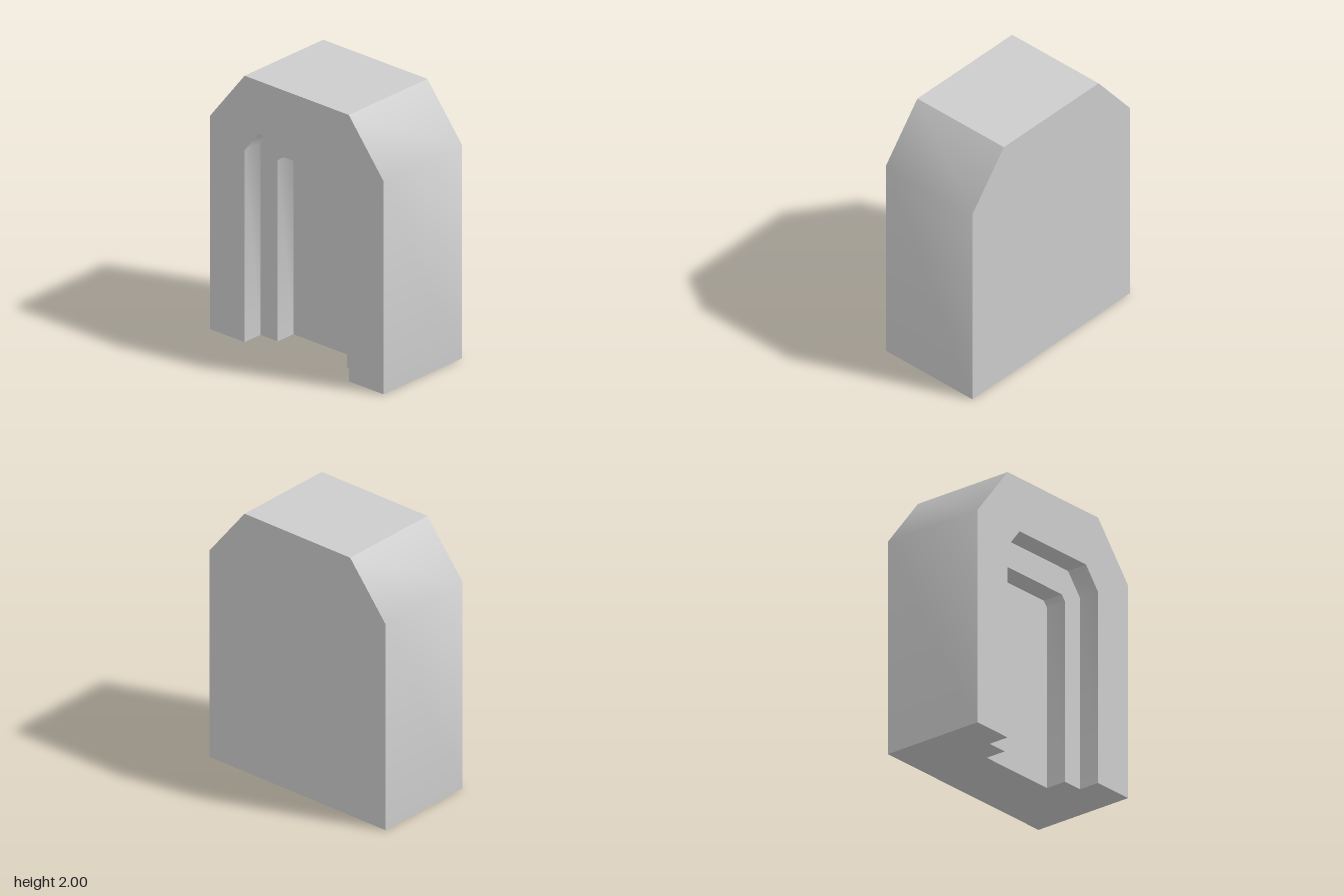
import * as THREE from 'three';
import { toCreasedNormals } from 'three/addons/utils/BufferGeometryUtils.js';

const BACK = -0.4, PANEL = 0.08, STEP = 0.24, FRONT = 0.4;

// Chamfered arch outline, from the bottom right over the top to the bottom left
function arch(halfWidth, height, chamferX, chamferY) {
  const right = [[halfWidth, 0], [halfWidth, height - chamferY], [halfWidth - chamferX, height]];
  const left = right.map(([x, y]) => [-x, y]).reverse();
  return [...right, ...left].map(([x, y]) => new THREE.Vector2(x, y));
}

// Walls swept along z under an outline; the chamfer blends softly into the sides
function wallGeometry(outline, z0, z1) {
  const positions = [];
  for (let i = 0; i < outline.length - 1; i++) {
    const a = outline[i], b = outline[i + 1];
    positions.push(a.x, a.y, z0, b.x, b.y, z0, b.x, b.y, z1);
    positions.push(a.x, a.y, z0, b.x, b.y, z1, a.x, a.y, z1);
  }
  const geometry = new THREE.BufferGeometry();
  geometry.setAttribute('position', new THREE.Float32BufferAttribute(positions, 3));
  return toCreasedNormals(geometry, THREE.MathUtils.degToRad(45));
}

// Flat face at a given z
function faceGeometry(points, z) {
  return new THREE.ShapeGeometry(new THREE.Shape(points)).translate(0, 0, z);
}

export function createModel() {
  const group = new THREE.Group();
  group.name = 'archedDoorway';
  const stone = new THREE.MeshStandardMaterial({ color: 0xcccccc });
  stone.name = 'lightGrey';

  const add = (name, geometry) => {
    const mesh = new THREE.Mesh(geometry, stone);
    mesh.name = name;
    group.add(mesh);
  };

  const outer = arch(0.8, 2, 0.32, 0.4);
  const recess = arch(0.48, 1.6, 0.128, 0.16);
  const door = arch(0.32, 1.4, 0.035, 0.044);
  const reversed = (outline) => [...outline].reverse();

  // Outer block
  add('outerWalls', wallGeometry(outer, BACK, FRONT));
  add('backFace', faceGeometry(outer, 0).rotateY(Math.PI).translate(0, 0, BACK));
  add('frontFrame', faceGeometry([...outer, ...reversed(recess)], FRONT));

  // Stepped recess
  add('recessWalls', wallGeometry(reversed(recess), STEP, FRONT));
  add('innerFrame', faceGeometry([...recess, ...reversed(door)], STEP));
  add('doorwayWalls', wallGeometry(reversed(door), PANEL, STEP));
  add('doorPanel', faceGeometry(door, PANEL));

  // Underside, following the steps of the recess
  const rightEdge = [[0.8, BACK], [0.8, FRONT], [0.48, FRONT], [0.48, STEP], [0.32, STEP], [0.32, PANEL]];
  const leftEdge = rightEdge.map(([x, z]) => [-x, z]).reverse();
  const footprint = [...rightEdge, ...leftEdge].map(([x, z]) => new THREE.Vector2(x, z));
  add('underside', faceGeometry(footprint, 0).rotateX(Math.PI / 2));

  return group;
}
